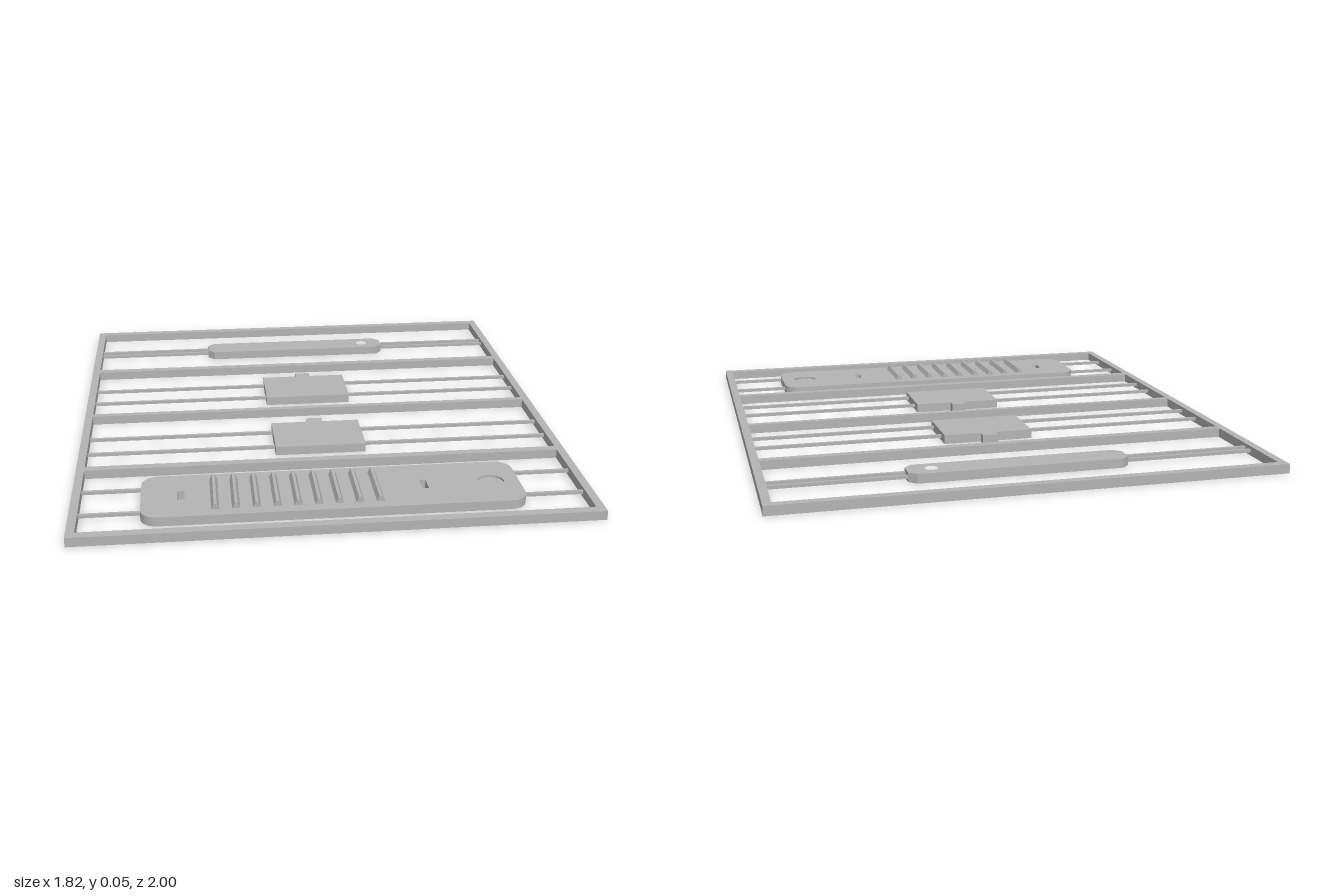
import * as THREE from 'three';

const H = 0.034; // thickness of the frame and plates

// Extrude an outline drawn in (x, z) upward from the ground
function slab(shape, height = H) {
  return new THREE.ExtrudeGeometry(shape, { depth: height, bevelEnabled: false, curveSegments: 10 })
    .rotateX(-Math.PI / 2);
}

function outline(points, Type = THREE.Shape) {
  return new Type(points.map(([x, z]) => new THREE.Vector2(x, -z)));
}

function rect(x0, x1, z0, z1, Type = THREE.Path) {
  return outline([[x0, z0], [x0, z1], [x1, z1], [x1, z0]], Type);
}

function circle(x, z, r) {
  return new THREE.Path().absarc(x, -z, r, 0, Math.PI * 2, true);
}

export function createModel() {
  const group = new THREE.Group();
  const grey = new THREE.MeshStandardMaterial({ color: 0xb4b4b4 });
  grey.name = 'grey plastic';

  const add = (name, geometry, x = 0, y = 0, z = 0) => {
    const mesh = new THREE.Mesh(geometry, grey);
    mesh.name = name;
    mesh.position.set(x, y, z);
    group.add(mesh);
  };

  // Outer frame with four windows
  const frame = rect(-0.91, 0.91, -1, 1, THREE.Shape);
  for (const [z0, z1] of [[-0.968, -0.508], [-0.477, -0.015], [0.01, 0.471], [0.503, 0.966]]) {
    frame.holes.push(rect(-0.88, 0.88, z0, z1));
  }
  add('frame', slab(frame));

  // Pairs of thin rods, split either side of the part they hold
  const rods = [
    [-0.762, 0.395], [-0.72, 0.395], [-0.29, 0.172], [-0.16, 0.172],
    [0.2, 0.172], [0.333, 0.172], [0.648, 0.67], [0.82, 0.67],
  ];
  for (const [z, inner] of rods) {
    const length = 0.882 - inner + 0.002;
    for (const side of [-1, 1]) {
      add('supportRod', new THREE.BoxGeometry(length, 0.012, 0.012), side * (inner + 0.88) / 2, H / 2, z);
    }
  }

  // Narrow bar with clipped corners and a round hole
  const bar = outline([
    [-0.4, -0.77], [-0.372, -0.795], [0.372, -0.795], [0.4, -0.77],
    [0.4, -0.71], [0.372, -0.683], [-0.372, -0.683], [-0.4, -0.71],
  ]);
  bar.holes.push(circle(0.312, -0.739, 0.024));
  add('narrowBar', slab(bar));

  // Two tabbed plates
  for (const z of [-0.345, 0.147]) {
    add('tabbedPlate', slab(outline([
      [-0.172, 0], [-0.03, 0], [-0.03, -0.034], [0.03, -0.034],
      [0.03, 0], [0.172, 0], [0.172, 0.226], [-0.172, 0.226],
    ])), 0, 0, z);
  }

  // Long rounded plate with two slots and a shallow round recess
  const zc = 0.735, hx = 0.67, hz = 0.155, r = 0.06;
  const plate = new THREE.Shape();
  plate.absarc(hx - r, -zc + hz - r, r, 0, Math.PI / 2);
  plate.absarc(-hx + r, -zc + hz - r, r, Math.PI / 2, Math.PI);
  plate.absarc(-hx + r, -zc - hz + r, r, Math.PI, Math.PI * 1.5);
  plate.absarc(hx - r, -zc - hz + r, r, Math.PI * 1.5, Math.PI * 2);
  for (const x of [-0.53, 0.327]) plate.holes.push(rect(x - 0.012, x + 0.012, 0.702, 0.768));
  plate.holes.push(circle(0.57, zc, 0.047));
  add('longPlate', slab(plate));
  const floor = new THREE.Shape().absarc(0, 0, 0.047, 0, Math.PI * 2, false);
  add('recessFloor', slab(floor, H - 0.008), 0.57, 0, zc);

  // Row of raised grip ridges
  const profile = new THREE.Shape([[-0.015, -0.002], [0.015, -0.002], [0.005, 0.019], [-0.005, 0.019]]
    .map(([x, y]) => new THREE.Vector2(x, y)));
  const ridge = new THREE.ExtrudeGeometry(profile, { depth: 0.228, bevelEnabled: false });
  for (let i = 0; i < 9; i++) add('gripRidge', ridge, -0.415 + i * 0.0713, H, 0.621);

  return group;
}
